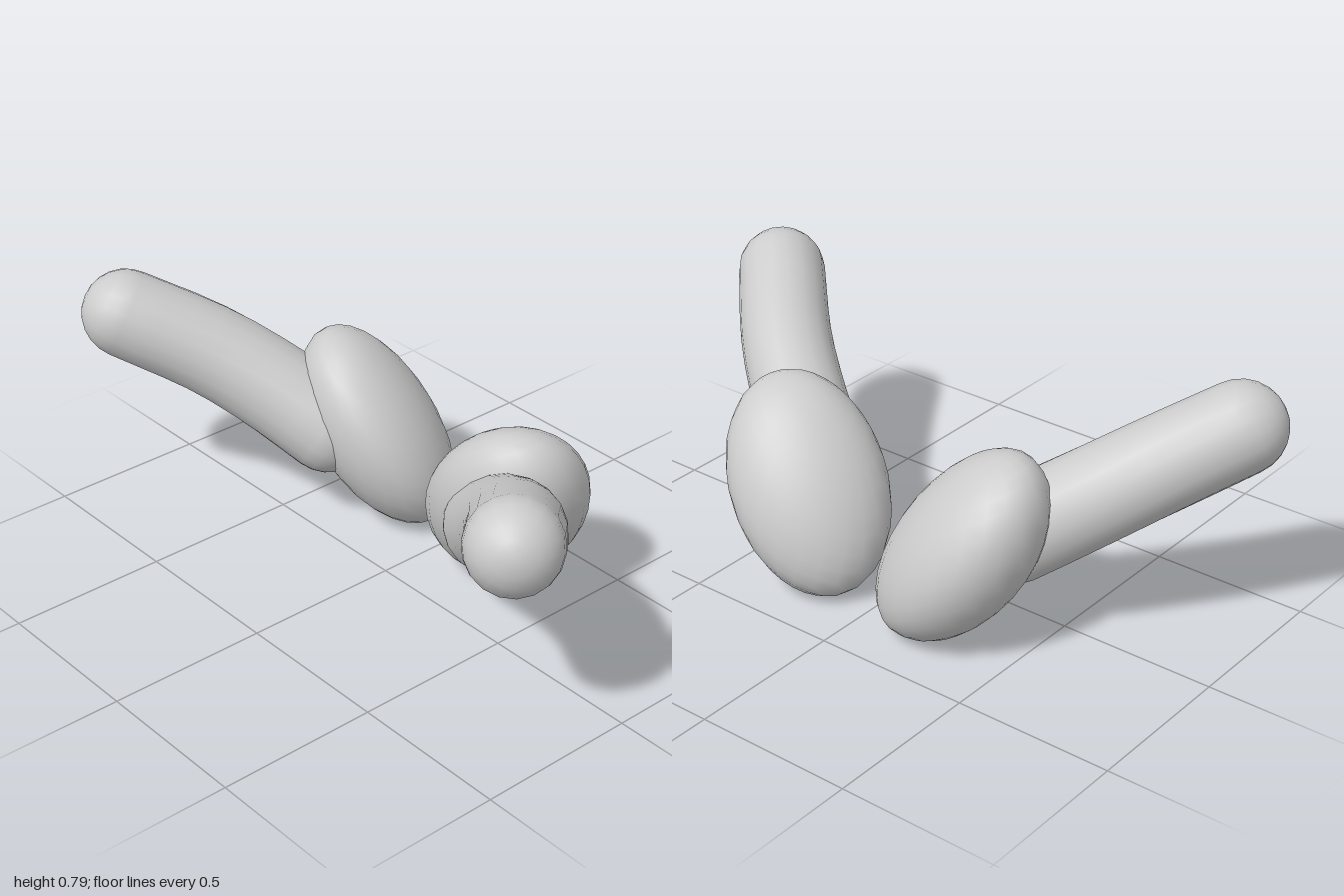
import * as THREE from 'three';
import { mergeVertices } from 'three/addons/utils/BufferGeometryUtils.js';

const RADIUS = 0.138;
const LENGTH = 0.72;

// Keep positions only and weld seams, so normals can be rebuilt smoothly after shaping
function weld(geo) {
  geo.deleteAttribute('uv');
  geo.deleteAttribute('normal');
  return mergeVertices(geo, 1e-4);
}

// Move every vertex of a geometry by a rule
function shape(geo, rule) {
  const pos = geo.attributes.position;
  const v = new THREE.Vector3();
  for (let i = 0; i < pos.count; i++) {
    rule(v.fromBufferAttribute(pos, i));
    pos.setXYZ(i, v.x, v.y, v.z);
  }
  geo.computeVertexNormals();
  return geo;
}

// Rounded limb: a capsule whose length follows a gently bent curve, thicker at the inner end
function limbGeometry(side) {
  const curve = new THREE.CatmullRomCurve3([
    [0.375, 0.318, -0.09], [0.52, 0.422, 0.0], [0.68, 0.535, 0.122], [0.862, 0.655, 0.308],
  ].map(([x, y, z]) => new THREE.Vector3(side * x, y, z)));
  const up = new THREE.Vector3(0, 1, 0);
  const turn = new THREE.Quaternion();
  return shape(weld(new THREE.CapsuleGeometry(RADIUS, LENGTH, 6, 18, 8)), (v) => {
    const along = v.y / LENGTH + 0.5;
    const t = THREE.MathUtils.clamp(along, 0, 1);
    const girth = THREE.MathUtils.lerp(1.08, 1, t);
    v.set(v.x * girth, (along - t) * LENGTH * girth, v.z * girth);
    turn.setFromUnitVectors(up, curve.getTangentAt(t));
    v.applyQuaternion(turn).add(curve.getPointAt(t));
  });
}

// Slanted oval pad: a sheared sphere, flatter on its back face and fuller on the limb side
function padGeometry(side) {
  const matrix = new THREE.Matrix4().makeBasis(
    new THREE.Vector3(0.263, side * 0.14, 0),
    new THREE.Vector3(0, 0.268, 0.074),
    new THREE.Vector3(0, 0, 0.213),
  );
  const back = new THREE.Vector3(-0.61 * side, 0.61, -0.5).normalize();
  const center = new THREE.Vector3(side * 0.286, 0.311, -0.229);
  const ball = weld(new THREE.SphereGeometry(1, 24, 16)).applyMatrix4(matrix);
  return shape(ball, (v) => {
    const depth = v.dot(back);
    v.addScaledVector(back, depth * (depth > 0 ? -0.08 : 0.13)).add(center);
  });
}

export function createModel() {
  const model = new THREE.Group();
  model.name = 'pairedLimbs';
  const grey = new THREE.MeshStandardMaterial({ color: 0xcccccc });
  grey.name = 'light grey';

  // Matching left (+x) and right (-x) halves
  for (const [label, side] of [['left', 1], ['right', -1]]) {
    const half = new THREE.Group();
    half.name = label + 'Half';
    const limb = new THREE.Mesh(limbGeometry(side), grey);
    limb.name = label + 'Limb';
    const pad = new THREE.Mesh(padGeometry(side), grey);
    pad.name = label + 'Pad';
    half.add(limb, pad);
    model.add(half);
  }
  return model;
}
